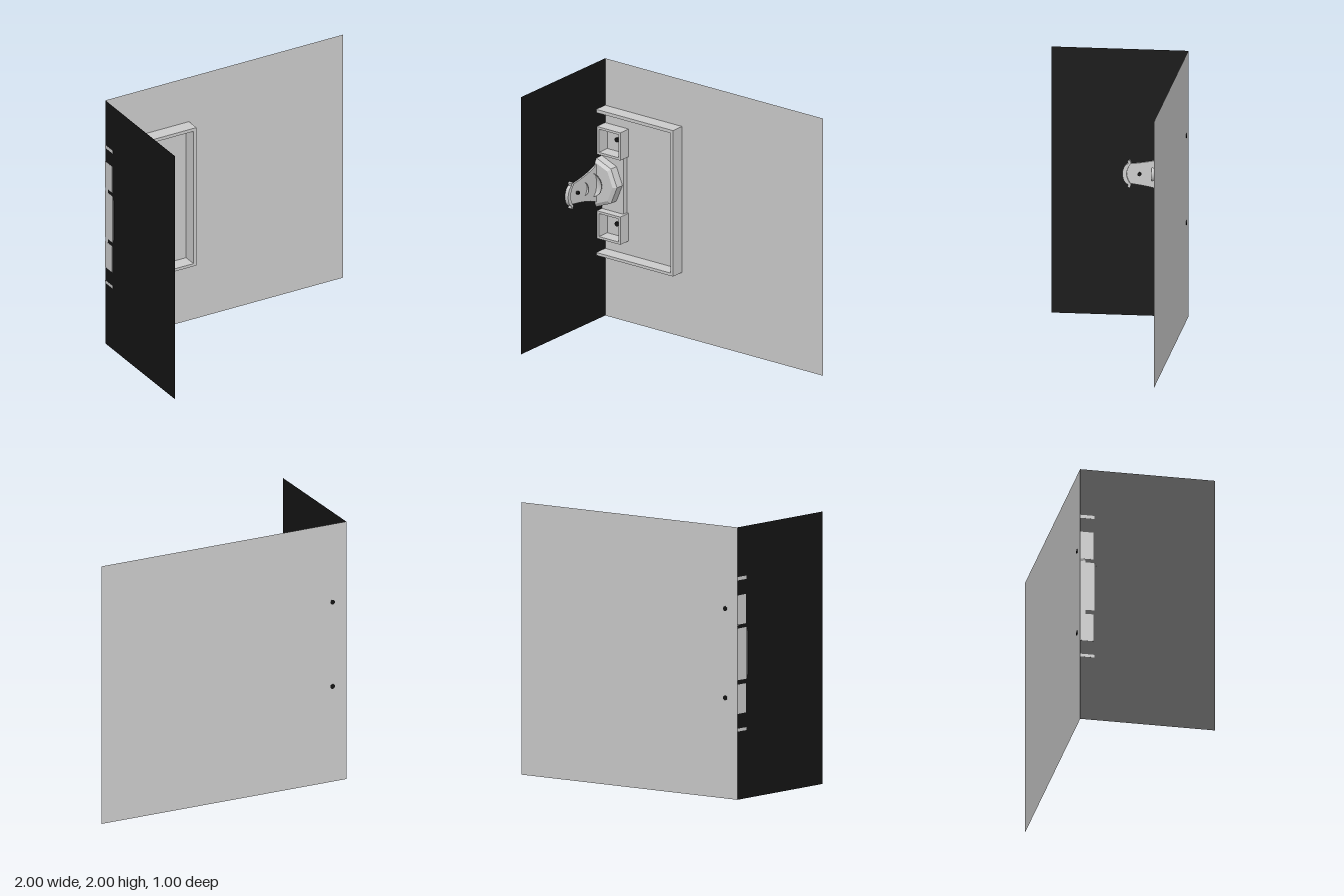
import * as THREE from 'three';

const grey = new THREE.MeshStandardMaterial({ color: 0xcccccc, flatShading: true, side: THREE.DoubleSide });
const smooth = new THREE.MeshStandardMaterial({ color: 0xcccccc, side: THREE.DoubleSide });
const black = new THREE.MeshStandardMaterial({ color: 0x141414, side: THREE.DoubleSide });

const EDGE = -1.001; // cut ends sit just proud of the side wall
const BACK = -0.5;
const MID = 1.067; // height of the lamp axis

export function createModel() {
  const model = new THREE.Group();

  const add = (name, geometry, material = grey) => {
    const mesh = new THREE.Mesh(geometry, material);
    mesh.name = name;
    model.add(mesh);
    return mesh;
  };
  // Box given by its limits
  const box = (name, x0, x1, y0, y1, z0, z1) =>
    add(name, new THREE.BoxGeometry(x1 - x0, y1 - y0, z1 - z0))
      .position.set((x0 + x1) / 2, (y0 + y1) / 2, (z0 + z1) / 2);

  // Two walls meeting in a corner
  add('backWall', new THREE.PlaneGeometry(2, 2)).position.set(0, 1, BACK);
  const side = add('sideWall', new THREE.PlaneGeometry(1, 2), black);
  side.rotation.y = Math.PI / 2;
  side.position.set(-1, 1, 0);

  // Three-sided rim on the back wall
  box('rimTop', EDGE, -0.295, 1.61, 1.635, BACK, -0.393);
  box('rimBottom', EDGE, -0.295, 0.5, 0.522, BACK, -0.393);
  box('rimSide', -0.32, -0.295, 0.522, 1.61, BACK, -0.393);

  // Mounting plate with a square socket and hole at each end
  box('mountingStrip', -1, -0.802, 0.845, 1.285, BACK, -0.46);
  for (const [y0, y1] of [[0.63, 0.845], [1.285, 1.5]]) {
    const shape = new THREE.Shape([
      new THREE.Vector2(EDGE, y0), new THREE.Vector2(-0.785, y0),
      new THREE.Vector2(-0.785, y1), new THREE.Vector2(EDGE, y1)]);
    shape.holes.push(new THREE.Path([
      new THREE.Vector2(-0.981, y0 + 0.018), new THREE.Vector2(-0.981, y1 - 0.018),
      new THREE.Vector2(-0.802, y1 - 0.018), new THREE.Vector2(-0.802, y0 + 0.018)]));
    add('socket', new THREE.ExtrudeGeometry(shape, { depth: 0.1, bevelEnabled: false })).position.z = BACK;
    const hole = add('screwHole', new THREE.CylinderGeometry(0.018, 0.018, 0.014, 16), black);
    hole.rotation.x = Math.PI / 2;
    hole.position.set(-0.888, (y0 + y1) / 2 + 0.001, -0.496);
  }

  // Half octagonal base with a chamfered front
  const half = [];
  for (let i = 0; i <= 4; i++) {
    const a = -Math.PI / 2 + i * Math.PI / 4;
    half.push(new THREE.Vector2(0.19 * Math.cos(a), 0.19 * Math.sin(a)));
  }
  const base = add('octagonBase', new THREE.ExtrudeGeometry(new THREE.Shape(half), { depth: 0.105, bevelEnabled: false }));
  base.position.set(EDGE, MID, BACK);
  const chamfer = add('octagonChamfer', new THREE.CylinderGeometry(0.162, 0.19, 0.017, 4, 1, false, 0, Math.PI));
  chamfer.rotation.x = Math.PI / 2;
  chamfer.position.set(EDGE, MID, -0.3865);

  // Flat lamp body, drawn in (-z, y) and extruded along +x
  const extrudeX = (name, shape, depth) => {
    const g = new THREE.ExtrudeGeometry(shape, { depth, bevelEnabled: false, curveSegments: 16 });
    g.rotateY(Math.PI / 2);
    add(name, g).position.set(-0.999, MID, 0);
  };
  const body = new THREE.Shape();
  body.moveTo(0.385, -0.15);
  body.quadraticCurveTo(0.3, -0.1, 0.085, -0.075);
  body.bezierCurveTo(0.0, -0.075, 0.0, 0.075, 0.085, 0.075);
  body.quadraticCurveTo(0.3, 0.1, 0.385, 0.15);
  extrudeX('lampBody', body, 0.013);

  // Rounded nose with a small ear above and below
  const nose = new THREE.Shape();
  nose.moveTo(0.085, -0.08);
  nose.lineTo(0.075, -0.104);
  nose.lineTo(0.058, -0.098);
  nose.lineTo(0.062, -0.078);
  nose.bezierCurveTo(0.008, -0.06, 0.008, 0.06, 0.062, 0.078);
  nose.lineTo(0.058, 0.098);
  nose.lineTo(0.075, 0.104);
  nose.lineTo(0.085, 0.08);
  nose.quadraticCurveTo(0.02, 0, 0.085, -0.08);
  extrudeX('nose', nose, 0.029);

  // Half bowls standing out from the body, open to the front
  for (const [r, z, depth] of [[0.09, -0.338, 0.042], [0.053, -0.235, 0.03]]) {
    const profile = [];
    for (let i = 0; i <= 10; i++) {
      const a = i / 10 * Math.PI / 2;
      profile.push(new THREE.Vector2(r * Math.sin(a), -depth * Math.cos(a)));
    }
    const bowl = add('reflectorBowl', new THREE.LatheGeometry(profile, 20, 0, Math.PI), smooth);
    bowl.rotation.x = Math.PI / 2;
    bowl.position.set(-1, MID, z);
  }

  // Dark pin in the middle of the body
  const pin = add('pin', new THREE.CylinderGeometry(0.013, 0.013, 0.034, 12), black);
  pin.rotation.z = Math.PI / 2;
  pin.position.set(-0.982, MID, -0.145);

  return model;
}
